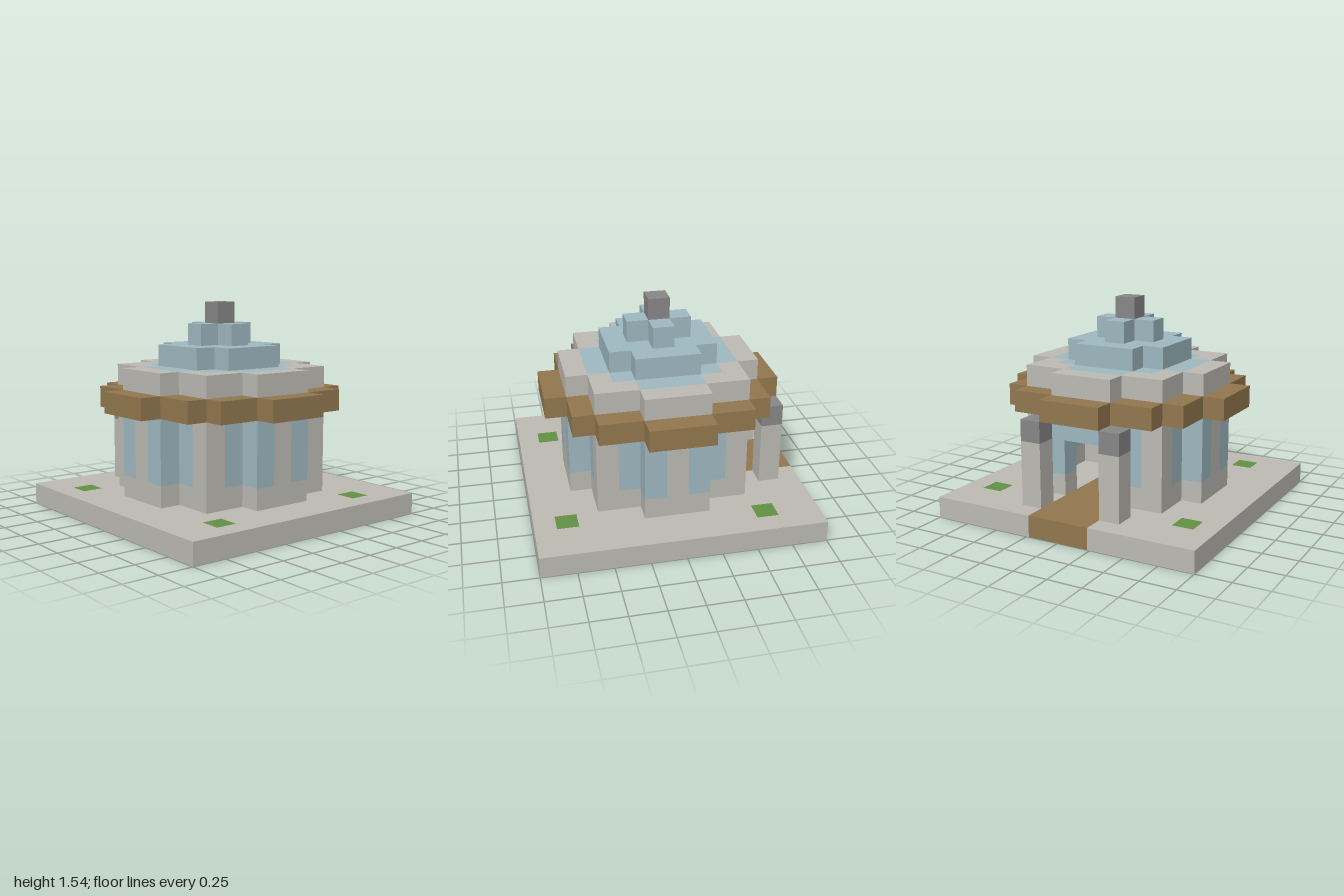
import * as THREE from 'three';
import { mergeGeometries } from 'three/addons/utils/BufferGeometryUtils.js';

const U = 2 / 13; // one block

const paint = (name, color) => {
  const m = new THREE.MeshStandardMaterial({ color });
  m.name = name;
  return m;
};

export function createModel() {
  const stone = paint('stone', 0xbcbab3);
  const glass = paint('paleBlue', 0x9eb8c0);
  const wood = paint('wood', 0x92774e);
  const slate = paint('slate', 0x878787);
  const grass = paint('grass', 0x629142);

  const group = new THREE.Group();

  // Merges columns of blocks [x, z] between two levels into one part
  const blocks = (name, material, cells, y0, y1) => {
    const parts = cells.map(([x, z]) =>
      new THREE.BoxGeometry(U, (y1 - y0) * U, U).translate(x * U, ((y0 + y1) / 2) * U, z * U));
    const mesh = new THREE.Mesh(mergeGeometries(parts), material);
    mesh.name = name;
    group.add(mesh);
  };

  // All cells of the 13 x 13 plan that pass a test
  const plan = (test) => {
    const out = [];
    for (let x = -6; x <= 6; x++) for (let z = -6; z <= 6; z++) if (test(x, z)) out.push([x, z]);
    return out;
  };

  // Stepped round outlines: half width allowed in each row
  const within = (rows) => (x, z) => Math.abs(x) <= (rows[Math.abs(z)] ?? -1);
  const porch = within([1, 1, 1, 1, 1, 1]);
  const outer = within([5, 5, 4, 4, 3, 1]);
  const drum = within([4, 4, 3, 3, 1]);
  const inner = within([3, 3, 2, 1]);
  const has = (list) => (x, z) => list.some(([a, b]) => a === x && b === z);

  // Base slab with inlaid path, lawn squares and pool
  const isPath = (x, z) => Math.abs(x) <= 1 && z <= 1;
  const isLawn = has([[-5, -4], [5, -4], [-4, 5], [4, 5]]);
  const isPool = has([[-3, 1], [-2, 2], [-3, 2], [-2, 3], [-3, 3]]);
  blocks('base', stone, plan((x, z) => !isPath(x, z) && !isLawn(x, z) && !isPool(x, z)), 0, 1);
  blocks('path', wood, plan(isPath), 0, 1);
  blocks('lawnSquares', grass, plan(isLawn), 0, 1);
  blocks('pool', glass, plan(isPool), 0, 1);

  // Round wall: sill, piers and windows, left open at the back door
  const isRing = (x, z) => drum(x, z) && !inner(x, z);
  const isDoor = (x, z) => z === -4 && porch(x, z);
  const isWall = (x, z) => isRing(x, z) && !isDoor(x, z);
  const isPier = (x, z) => x === 0 || z === 0 || Math.abs(x) === Math.abs(z);
  blocks('sill', stone, plan(isWall), 1, 2);
  blocks('piers', stone, plan((x, z) => isWall(x, z) && isPier(x, z)), 2, 5);
  blocks('windows', glass, plan((x, z) => isWall(x, z) && !isPier(x, z)), 2, 5);
  blocks('doorLintel', glass, plan(isDoor), 4, 5);
  blocks('upperWall', stone, plan(isRing), 5, 7);

  // Porch columns and their capitals
  const columns = [[-2, -5], [2, -5]];
  blocks('porchColumns', stone, columns, 1, 4);
  blocks('columnCapitals', slate, columns, 4, 5);

  // Projecting timber band
  blocks('woodBand', wood, plan((x, z) => outer(x, z) && !drum(x, z)), 5, 6);

  // Stepped roof
  blocks('roofDeck', glass, plan(inner), 6, 7);
  blocks('lowerDome', glass, plan(within([2, 2, 1])), 7, 8);
  blocks('upperDome', glass, plan(within([1, 0])), 8, 9);
  blocks('finial', slate, [[0, 0]], 9, 10);

  return group;
}
